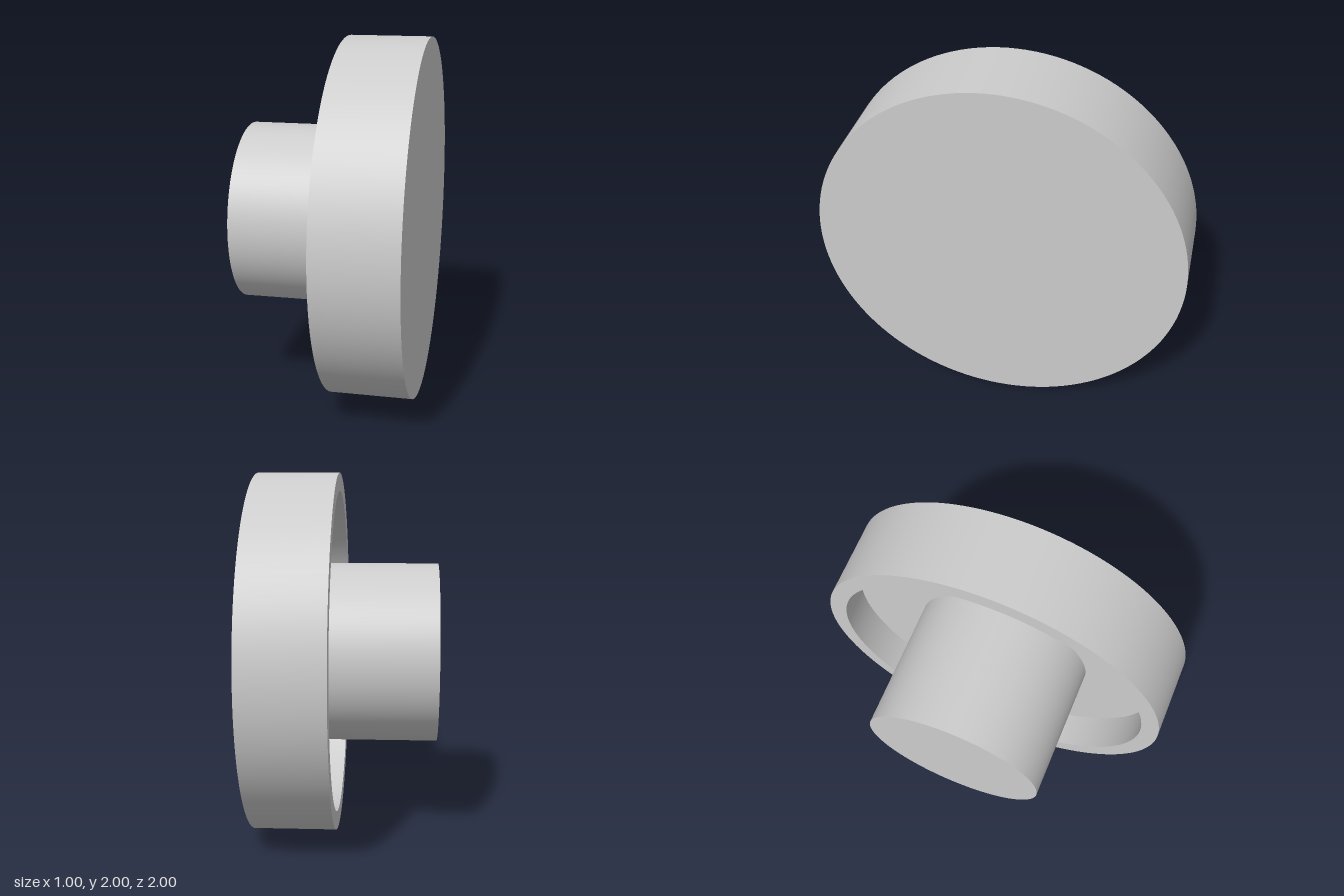
import * as THREE from 'three';
import { toCreasedNormals } from 'three/addons/utils/BufferGeometryUtils.js';

const SEGMENTS = 128;

// Turned part: profile of [radius, x] pairs spun about the x axis
function turned(name, profile, material) {
  const points = profile.map(([r, x]) => new THREE.Vector2(r, x));
  const geometry = toCreasedNormals(new THREE.LatheGeometry(points, SEGMENTS), Math.PI / 6);
  geometry.rotateZ(-Math.PI / 2);
  const mesh = new THREE.Mesh(geometry, material);
  mesh.name = name;
  mesh.position.y = 1;
  return mesh;
}

export function createModel() {
  const group = new THREE.Group();
  group.name = 'flangedKnob';

  const grey = new THREE.MeshStandardMaterial({ color: 0xcccccc });
  grey.name = 'light grey';

  // Solid stem, rising from the floor of the recess
  group.add(turned('stem', [[0, -0.5], [0.5, -0.5], [0.5, 0.25]], grey));

  // Wide disc with a raised rim around a recess on the stem side
  group.add(turned('disc', [
    [0.5, 0.25], [0.9, 0.25], [0.9, 0.05], [1, 0.05], [1, 0.5], [0, 0.5],
  ], grey));

  return group;
}
